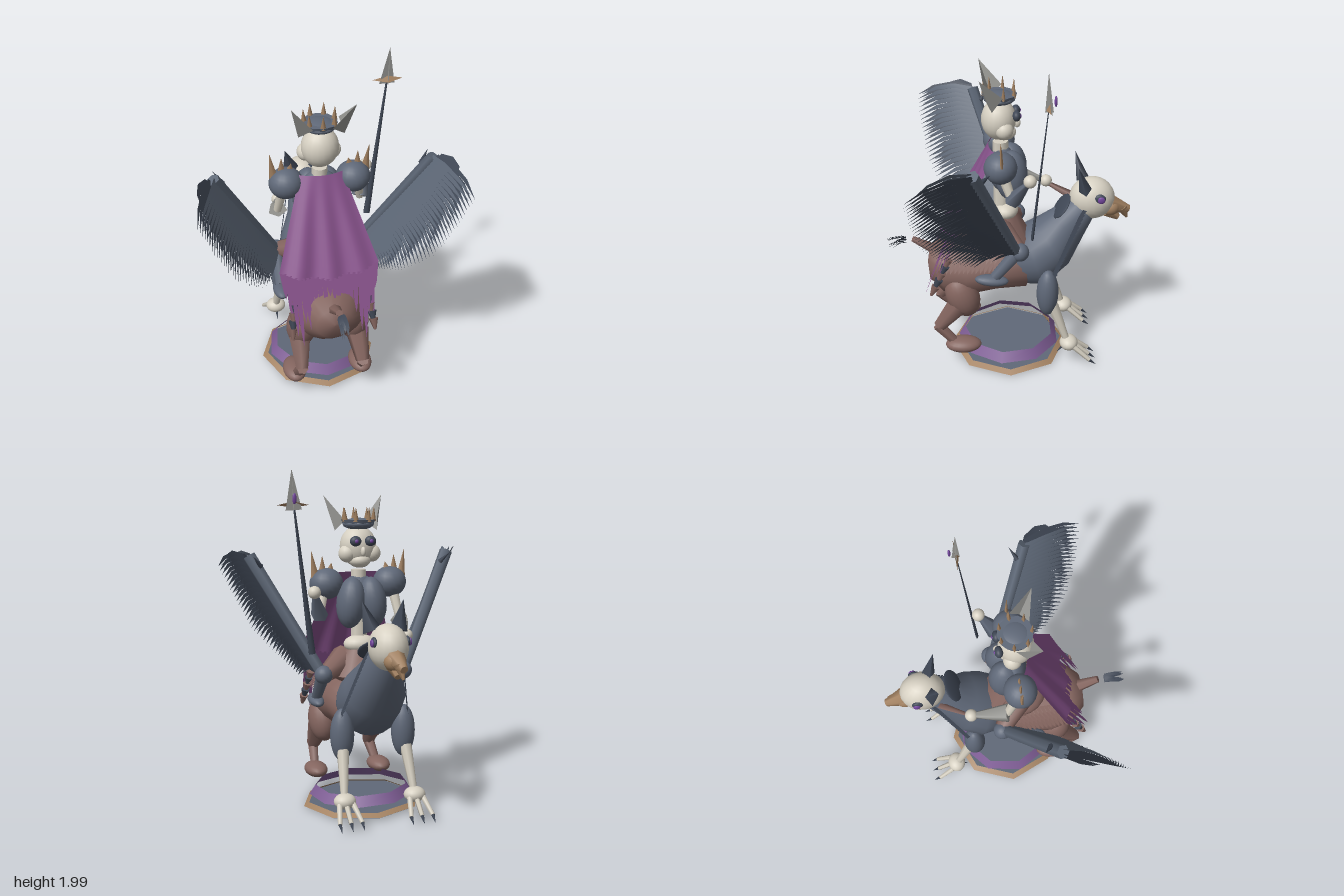
import * as THREE from 'three';

const V = (x, y, z) => new THREE.Vector3(x, y, z);
const mat = (name, color, side = THREE.FrontSide) => {
  const m = new THREE.MeshStandardMaterial({ color, side });
  m.name = name;
  return m;
};

export function createModel() {
  const root = new THREE.Group();
  const slate = mat('slate armour', 0x5f6878);
  const dark = mat('dark feather', 0x404856, THREE.DoubleSide);
  const plume = mat('slate feather', 0x5c6675, THREE.DoubleSide);
  const hide = mat('brown hide', 0x84655f, THREE.DoubleSide);
  const bone = mat('ivory bone', 0xd6d0c2);
  const tan = mat('tan horn', 0xa38262, THREE.DoubleSide);
  const cloth = mat('purple cloth', 0x87528b, THREE.DoubleSide);
  const steel = mat('grey steel', 0x9a9a96, THREE.DoubleSide);
  const violet = mat('violet gem', 0x71459a);
  const stone = mat('violet stone', 0x7d5c93, THREE.DoubleSide);

  const add = (name, geo, m) => {
    const mesh = new THREE.Mesh(geo, m);
    mesh.name = name;
    root.add(mesh);
    return mesh;
  };
  const ball = (name, m, p, r, rx = 0, rz = 0) => {
    const o = add(name, new THREE.SphereGeometry(1, 20, 14), m);
    o.position.set(...p);
    o.scale.set(...(Array.isArray(r) ? r : [r, r, r]));
    o.rotation.set(rx, 0, rz);
    return o;
  };
  // tapered rod from a to b, optionally flattened
  const rod = (name, m, a, b, ra, rb, sides = 8, flat = 1) => {
    const A = V(...a), B = V(...b), d = B.clone().sub(A);
    const o = add(name, new THREE.CylinderGeometry(rb, ra, d.length(), sides), m);
    o.position.copy(A).lerp(B, 0.5);
    o.quaternion.setFromUnitVectors(V(0, 1, 0), d.normalize());
    o.scale.z = flat;
    return o;
  };
  // flat triangular plate
  const plate = (name, m, a, b, c) => {
    const g = new THREE.BufferGeometry();
    g.setAttribute('position', new THREE.Float32BufferAttribute([...a, ...b, ...c], 3));
    g.computeVertexNormals();
    return add(name, g, m);
  };
  // open band of flat faces, e.g. for the base
  const band = (name, m, rTop, rBottom, y, h, sides) => {
    const o = add(name, new THREE.CylinderGeometry(rTop, rBottom, h, sides, 1, true), m);
    o.position.set(0, y, -0.02);
    o.rotation.z = -0.03;
    return o;
  };
  // body skin through oval rings [y, z, rx, ry, tilt], running towards -z
  const loft = (name, m, rings, n = 20) => {
    const pos = [], idx = [];
    rings.forEach(([y, z, rx, ry, t], i) => {
      for (let j = 0; j < n; j++) {
        const a = (j / n) * Math.PI * 2, u = Math.sin(a) * ry;
        pos.push(Math.cos(a) * rx, y + u * Math.cos(t), z + u * Math.sin(t));
        if (!i) continue;
        const k = (j + 1) % n, p = (i - 1) * n, q = i * n;
        idx.push(p + j, q + j, p + k, q + j, q + k, p + k);
      }
    });
    const g = new THREE.BufferGeometry();
    g.setAttribute('position', new THREE.Float32BufferAttribute(pos, 3));
    g.setIndex(idx);
    g.computeVertexNormals();
    return add(name, g, m);
  };
  // pointed curved blades {a: root, b: tip, w: half width vector, lift: bow vector}
  const blades = (name, m, list) => {
    const pos = [], idx = [];
    list.forEach(({ a, b, w, lift = V(0, 0, 0) }) => {
      const o = pos.length / 3;
      [0, 0.35, 0.7].forEach((t) => {
        const c = a.clone().lerp(b, t).addScaledVector(lift, 4 * t * (1 - t));
        const k = 1 - t * 0.45;
        pos.push(...c.clone().addScaledVector(w, k).toArray(), ...c.clone().addScaledVector(w, -k).toArray());
      });
      pos.push(...b.toArray());
      idx.push(o, o + 1, o + 2, o + 1, o + 3, o + 2, o + 2, o + 3, o + 4, o + 3, o + 5, o + 4, o + 4, o + 5, o + 6);
    });
    const g = new THREE.BufferGeometry();
    g.setAttribute('position', new THREE.Float32BufferAttribute(pos, 3));
    g.setIndex(idx);
    g.computeVertexNormals();
    return add(name, g, m);
  };

  // ---- base: thin slab with sloping rim, and a raised ring
  band('baseRim', tan, 0.325, 0.358, 0.036, 0.02, 8);
  const floor = add('baseFloor', new THREE.CylinderGeometry(0.33, 0.345, 0.018, 8), slate);
  floor.position.set(0, 0.028, -0.02);
  floor.rotation.z = -0.03;
  band('baseRing', stone, 0.275, 0.315, 0.108, 0.055, 9);

  // ---- beast body, chest and neck
  loft('beastBody', hide, [[0.62, 0.475, 0, 0, 0], [0.62, 0.46, 0.11, 0.1, 0], [0.61, 0.38, 0.19, 0.165, 0],
    [0.605, 0.24, 0.22, 0.18, 0], [0.62, 0.06, 0.2, 0.16, 0], [0.62, -0.12, 0.18, 0.15, 0], [0.62, -0.2, 0, 0, 0]]);
  loft('beastChestAndNeck', slate, [[0.63, 0, 0, 0, 0], [0.64, -0.06, 0.17, 0.15, 0.1], [0.67, -0.18, 0.2, 0.2, 0.3],
    [0.76, -0.29, 0.18, 0.17, 0.6], [0.88, -0.37, 0.12, 0.125, 0.9], [1.0, -0.46, 0.09, 0.09, 1], [1.05, -0.49, 0, 0, 1]]);
  ball('mane', dark, [0.02, 1.0, -0.33], [0.1, 0.014, 0.08], 0.89);

  // ---- beast head
  ball('beastSkull', bone, [0, 1.045, -0.51], [0.11, 0.13, 0.135]);
  ball('beakRoot', tan, [0, 0.985, -0.62], [0.062, 0.055, 0.06]);
  rod('beakUpper', tan, [0, 1.0, -0.62], [-0.01, 0.96, -0.735], 0.058, 0.022, 7);
  rod('beakHook', tan, [0, 0.98, -0.69], [-0.01, 0.905, -0.725], 0.035, 0.008, 6);
  rod('beakLower', tan, [0, 0.96, -0.6], [0, 0.91, -0.67], 0.045, 0.02, 6);
  for (const s of [-1, 1]) {
    rod('beastEar', dark, [s * 0.075, 1.13, -0.46], [s * 0.12, 1.29, -0.415], 0.055, 0.001, 4, 0.7);
    ball('eyeSocket', dark, [s * 0.094, 1.08, -0.545], [0.016, 0.03, 0.036]);
    ball('beastEye', violet, [s * 0.108, 1.078, -0.553], [0.01, 0.022, 0.022]);

    // ---- hind legs
    ball('hindThigh', hide, [s * 0.16, 0.475, 0.265], [0.09, 0.145, 0.1], 0.35);
    rod('hindShin', hide, [s * 0.175, 0.42, 0.29], [s * 0.185, 0.27, 0.41], 0.072, 0.04, 6);
    rod('hindHock', hide, [s * 0.185, 0.28, 0.42], [s * 0.2, 0.17, 0.32], 0.036, 0.028, 6);
    ball('hindFoot', hide, [s * 0.206, 0.15, 0.265], [0.07, 0.045, 0.11]);

    // ---- front legs with taloned feet
    ball('frontThigh', slate, [s * 0.185, 0.5, -0.245], [0.07, 0.155, 0.066]);
    rod('frontShin', bone, [s * 0.19, 0.42, -0.275], [s * 0.21, 0.16, -0.37], 0.036, 0.02);
    ball('frontFoot', bone, [s * 0.21, 0.15, -0.38], [0.064, 0.045, 0.056]);
    for (const k of [-1, 0, 1]) {
      const x = s * 0.21 + k * 0.04, tx = s * 0.21 + k * 0.065;
      rod('toe', bone, [x, 0.14, -0.41], [tx, 0.06, -0.505], 0.017, 0.013, 6);
      rod('talon', dark, [tx, 0.06, -0.505], [tx, 0.028, -0.545], 0.011, 0.001, 5);
    }
    rod('dewTalon', dark, [s * 0.21, 0.13, -0.35], [s * 0.21, 0.08, -0.31], 0.01, 0.001, 5);

    // ---- rider legs
    rod('riderThigh', hide, [s * 0.08, 0.89, 0.05], [s * 0.23, 0.82, -0.07], 0.085, 0.05);
    ball('riderKnee', slate, [s * 0.245, 0.82, -0.075], 0.054);
    rod('riderShin', slate, [s * 0.245, 0.82, -0.06], [s * 0.25, 0.66, 0.07], 0.042, 0.032);
    ball('riderBoot', slate, [s * 0.25, 0.635, 0.09], [0.045, 0.032, 0.1], -0.1);

    // ---- shoulder armour with flat spikes
    ball('shoulderPlate', slate, [s * 0.195, 1.34, 0.035], [0.1, 0.092, 0.095]);
    [[0.265, 1.38, 0.285, 1.53], [0.22, 1.4, 0.22, 1.5], [0.175, 1.41, 0.165, 1.46]].forEach(([x, y, tx, ty]) =>
      rod('shoulderSpike', tan, [s * x, y, 0.03], [s * tx, ty, 0.035], 0.028, 0.001, 6, 0.4));

    // ---- chest plate halves
    ball('breastPlate', slate, [s * 0.065, 1.23, -0.03], [0.085, 0.15, 0.095], 0, s * 0.1);

    // ---- scaled skirt over the flank, braids, and feathers along the neck
    for (const r of [0, 1, 2])
      blades('skirtScales', hide, Array.from({ length: 12 }, (_, i) => ({
        a: V(s * (0.13 + 0.03 * r), 0.815 - 0.04 * r, 0.03 + i * 0.025 + r * 0.012),
        b: V(s * (0.18 + 0.025 * r), 0.765 - 0.05 * r, 0.06 + i * 0.025 + r * 0.012), w: V(0, 0, 0.013) })));
    for (let i = 0; i < 5; i++)
      rod('braidBead', i % 2 ? dark : hide, [s * (0.215 + 0.006 * i), 0.76 - i * 0.042, 0.34 + i * 0.02],
        [s * (0.22 + 0.006 * i), 0.7 - i * 0.042, 0.37 + i * 0.02], 0.028, 0.008, 6);
    blades('neckFeathers', dark, Array.from({ length: 18 }, (_, i) => {
      const t = i / 17, x = s * (0.1 + 0.1 * (1 - t)), y = 0.58 + t * 0.4, z = -0.26 - t * 0.18;
      return { a: V(x, y + 0.03, z - 0.02), b: V(x + s * 0.025, y - 0.04, z + 0.03), w: V(0, 0.004, 0.012) };
    }));

    // ---- wings: flat arm, wrist claw, layers of swept feathers
    const P = (t) => V(s * (0.26 + 0.36 * t), 0.84 + 0.66 * t, -0.05 + 0.24 * t);
    rod('wingArm', plume, P(-0.03).toArray(), P(1).toArray(), 0.035, 0.04, 6, 0.9);
    rod('wingClaw', dark, [s * 0.56, 1.44, 0.14], [s * 0.61, 1.5, 0.1], 0.016, 0.001, 5);
    const trail = new THREE.CatmullRomCurve3([V(0.33, 0.77, 0.2), V(0.42, 0.87, 0.36), V(0.55, 1.02, 0.47),
      V(0.65, 1.21, 0.52), V(0.745, 1.41, 0.54)]);
    const layer = (n, reach, w, lift, shift) => Array.from({ length: n }, (_, i) => {
      const t = i / (n - 1), a = P(t), e = trail.getPoint(t);
      e.x *= s;
      a.x += s * shift;
      return { a, b: a.clone().lerp(e, reach), lift: V(s * shift, lift, 0),
        w: V(s * 0.44, 0.64, 0.24).multiplyScalar(w) };
    });
    blades('wingFlightFeathers', dark, layer(34, 1, 0.02, 0.042, 0.014));
    blades('wingUpperFeathers', plume, layer(30, 0.92, 0.022, 0.045, -0.016));
    blades('wingCovertFeathers', dark, layer(24, 0.55, 0.026, 0.035, 0.03));
  }

  // ---- tail and tuft
  rod('tail', hide, [0, 0.7, 0.42], [0, 0.78, 0.56], 0.042, 0.022, 6, 0.8);
  blades('tailTuft', dark, Array.from({ length: 18 }, (_, i) => {
    const a = i * 2.4, r = 0.014 + 0.022 * ((i % 4) / 3);
    return { a: V(Math.cos(a) * r * 0.6, 0.775 + Math.sin(a) * r * 0.6, 0.6),
      b: V(Math.cos(a) * r, 0.75 + Math.sin(a) * r, 0.68 + 0.04 * (i % 2)), w: V(0.008, 0.006, 0), lift: V(0, 0.012, 0) };
  }));

  // ---- saddle and rider torso
  ball('saddle', hide, [0, 0.82, 0.06], [0.17, 0.09, 0.17]);
  rod('tasset', hide, [0, 0.8, 0.02], [0, 0.96, 0.02], 0.18, 0.09, 10);
  ball('pelvis', bone, [0, 0.98, 0], [0.1, 0.055, 0.075]);
  rod('spine', bone, [0, 0.96, 0.02], [0, 1.42, 0.03], 0.05, 0.045);
  ball('ribcage', slate, [0, 1.25, 0.02], [0.13, 0.14, 0.08]);

  // ---- arms: one raised on the spear, one at the rein
  const arm = (sh, el, ha, m) => {
    rod('upperArm', bone, sh, el, 0.033, 0.024);
    rod('sleeve', m, ha, el, 0.014, 0.058, 5, 0.8);
    ball('hand', bone, ha, 0.037);
  };
  arm([0.22, 1.3, 0.02], [0.255, 1.16, -0.03], [0.31, 1.31, -0.125], slate);
  arm([-0.21, 1.3, 0.02], [-0.235, 1.12, -0.04], [-0.2, 1.06, -0.25], steel);
  rod('rein', hide, [-0.2, 1.05, -0.25], [-0.09, 1.0, -0.42], 0.012, 0.03, 4, 0.4);

  // ---- spear
  rod('spearShaft', dark, [0.33, 0.96, -0.14], [0.445, 1.8, -0.21], 0.022, 0.006, 6, 0.4);
  plate('spearHead', steel, [0.4, 1.78, -0.21], [0.495, 1.775, -0.225], [0.455, 2, -0.205]);
  plate('spearRidge', steel, [0.45, 1.78, -0.235], [0.45, 1.78, -0.19], [0.455, 2, -0.205]);
  for (const s of [-1, 1])
    plate('spearGuard', tan, [0.45, 1.825, -0.215], [0.45, 1.79, -0.195], [0.45 + s * 0.09, 1.805, -0.215]);
  ball('spearGem', violet, [0.45, 1.84, -0.245], [0.012, 0.03, 0.008]);

  // ---- rider head
  ball('riderSkull', bone, [0, 1.555, 0.04], [0.108, 0.12, 0.1]);
  ball('riderJaw', bone, [0, 1.475, 0.01], [0.065, 0.045, 0.07]);
  ball('riderNose', bone, [0, 1.53, -0.065], [0.015, 0.028, 0.02]);
  for (const s of [-1, 1]) {
    ball('cheek', bone, [s * 0.075, 1.515, 0.01], 0.052);
    ball('riderEyeSocket', dark, [s * 0.045, 1.59, -0.06], [0.034, 0.03, 0.024]);
    ball('riderEye', violet, [s * 0.045, 1.59, -0.08], [0.012, 0.012, 0.008]);
    plate('crownWing', steel, [s * 0.13, 1.645, 0.08], [s * 0.055, 1.7, 0.12], [s * 0.18, 1.85, 0.15]);
    plate('crownWingSide', steel, [s * 0.13, 1.645, 0.08], [s * 0.11, 1.72, 0.02], [s * 0.18, 1.85, 0.15]);
  }

  // ---- crown: cap, band and flat points
  ball('crownCap', slate, [0, 1.685, 0.035], [0.092, 0.035, 0.092]);
  const circlet = add('crownBand', new THREE.CylinderGeometry(0.1, 0.085, 0.04, 10), slate);
  circlet.position.set(0, 1.69, 0.035);
  for (let i = 0; i < 7; i++) {
    const a = (i / 7) * Math.PI * 2, c = Math.sin(a), d = Math.cos(a);
    rod('crownSpike', tan, [c * 0.088, 1.7, 0.035 + d * 0.088], [c * 0.092, 1.78, 0.035 + d * 0.092], 0.018, 0.001, 4, 0.7);
  }

  // ---- cape: folded sheet with a ragged hem
  const drape = (u, v) => V(u * (0.25 + 0.33 * v), 1.4 - 0.54 * v + 0.2 * v * u * u,
    0.1 + 0.25 * v + 0.016 * v * Math.cos(u * 20) - u * u * 0.13);
  const cape = new THREE.PlaneGeometry(1, 1, 28, 8), cp = cape.attributes.position;
  for (let i = 0; i < cp.count; i++) {
    const p = drape(cp.getX(i), 0.5 - cp.getY(i));
    cp.setXYZ(i, p.x, p.y, p.z);
  }
  cape.computeVertexNormals();
  add('cape', cape, cloth);
  blades('capeHem', cloth, Array.from({ length: 22 }, (_, i) => {
    const u = (i + 0.5) / 22 - 0.5, a = drape(u, 0.98), e = Math.abs(u);
    const len = (0.12 + 0.27 * Math.min(1, e / 0.32)) * [1, 0.7, 0.9][i % 3] * (e > 0.46 ? 0.4 : 1);
    return { a, b: a.clone().add(V(-u * 0.03, -len, len * 0.37)), w: V(0.016, 0, 0) };
  }));

  return root;
}
